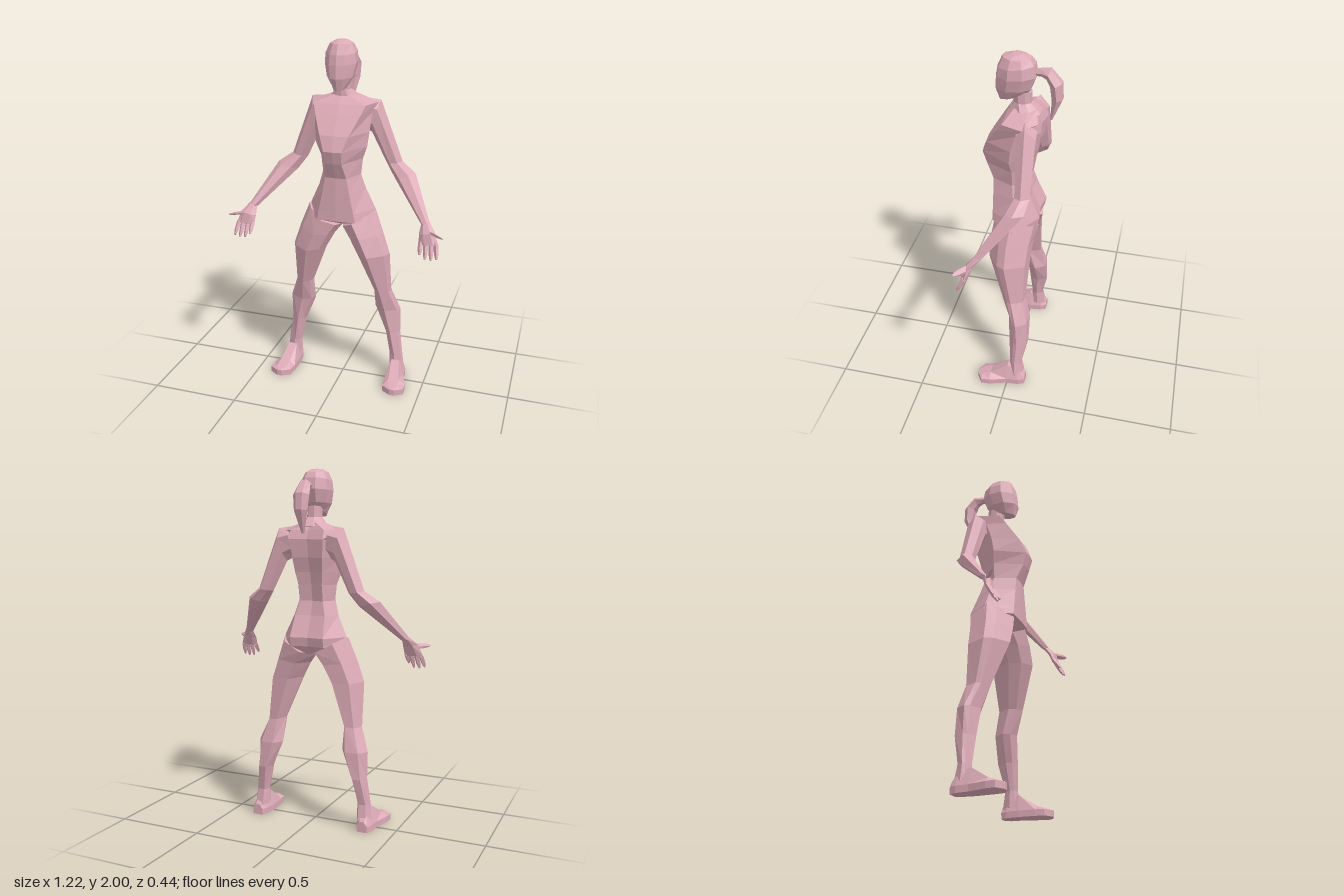
import * as THREE from 'three';

const skin = new THREE.MeshStandardMaterial({ color: 0xdcaab6, flatShading: true });
skin.name = 'rosePink';

// Skin a list of rings (arrays of [x, y, z]) with closed ends, faces outward
function loft(name, rings) {
  const n = rings[0].length, pos = rings.flat(2), tris = [];
  const at = (r, i) => r * n + (i % n);
  for (let r = 0; r < rings.length - 1; r++)
    for (let i = 0; i < n; i++)
      tris.push([at(r, i), at(r, i + 1), at(r + 1, i)], [at(r, i + 1), at(r + 1, i + 1), at(r + 1, i)]);
  for (const r of [0, rings.length - 1]) {
    const c = pos.length / 3;
    for (let k = 0; k < 3; k++) pos.push(rings[r].reduce((s, p) => s + p[k], 0) / n);
    for (let i = 0; i < n; i++) tris.push(r ? [at(r, i), at(r, i + 1), c] : [at(r, i + 1), at(r, i), c]);
  }
  // Signed volume decides the winding
  const v = (i) => new THREE.Vector3().fromArray(pos, i * 3);
  const volume = tris.reduce((s, [a, b, c]) => s + v(a).dot(v(b).cross(v(c))), 0);
  if (volume < 0) tris.forEach((t) => t.reverse());
  let geo = new THREE.BufferGeometry();
  geo.setAttribute('position', new THREE.Float32BufferAttribute(pos, 3));
  geo.setIndex(tris.flat());
  geo = geo.toNonIndexed();
  geo.computeVertexNormals();
  const mesh = new THREE.Mesh(geo, skin);
  mesh.name = name;
  return mesh;
}

// Add the mirrored other half to a front-to-back half profile
const mirrorX = (half) => [...half, ...half.slice().reverse().filter((p) => Math.abs(p[0]) > 1e-6).map(([x, y, z]) => [-x, y, z])];

// Ring on the centre line: half width, front y/z, back y/z
const centreRing = (profile) => ([w, yf, zf, yb, zb]) =>
  mirrorX(profile.map(([t, s]) => [s * w, yf + (yb - yf) * t, zf + (zb - zf) * t]));

// Ring across a limb: inner x/y, outer x/y, front z, back z
const limbRing = (profile, side) => ([xi, yi, xo, yo, zf, zb]) =>
  profile.map(([t, s]) => [side * (xi + (xo - xi) * t), yi + (yo - yi) * t, (zf + zb) / 2 + (s * (zf - zb)) / 2]);

// Thin tapering finger between two points
function digit(name, a, b, r, side) {
  const ring = (p, q) => [0, 1, 2, 3].map((i) => {
    const t = (i * Math.PI) / 2;
    return [side * (p[0] + q * Math.cos(t)), p[1] + q * Math.sin(t) * 0.7, p[2] + q * Math.sin(t) * 0.7];
  });
  const mid = a.map((v, i) => v + (b[i] - v) * 0.65);
  return loft(name, [ring(a, r), ring(mid, r * 0.9), ring(b, r * 0.45)]);
}

export function createModel() {
  const body = new THREE.Group();
  body.name = 'figure';

  // Torso: y, front z, back z, front half width, side half width, back half width, side z
  const torso = [
    [1.71, 0.03, -0.09, 0.04, 0.06, 0.04, -0.05],
    [1.67, 0.07, -0.115, 0.145, 0.185, 0.1, -0.05],
    [1.62, 0.105, -0.13, 0.125, 0.16, 0.1, -0.01],
    [1.52, 0.17, -0.115, 0.08, 0.155, 0.09, 0.02],
    [1.44, 0.2, -0.09, 0.05, 0.145, 0.08, 0.03],
    [1.37, 0.18, -0.075, 0.045, 0.12, 0.07, 0.02],
    [1.28, 0.14, -0.06, 0.06, 0.11, 0.07, 0.02],
    [1.2, 0.14, -0.08, 0.075, 0.135, 0.09, 0.01],
    [1.08, 0.14, -0.13, 0.1, 0.19, 0.1, 0],
    [1.03, 0.14, -0.12, 0.11, 0.208, 0.1, 0],
    [0.98, 0.04, -0.07, 0.015, 0.05, 0.02, 0],
  ];
  body.add(loft('torso', torso.map(([y, zf, zb, a, w, b, zs]) =>
    mirrorX([[0, y, zf], [a, y, zf - 0.005], [w, y, zs], [b, y, zb], [0, y, zb + 0.015]]))));

  // Neck, head and ponytail
  const oval = centreRing([[0, 0], [0.06, 0.5], [0.36, 1], [0.72, 0.92], [1, 0.4]]);
  body.add(loft('neck', [
    [0.04, 1.8, 0.045, 1.8, -0.06], [0.04, 1.74, 0.035, 1.74, -0.06], [0.085, 1.685, 0.035, 1.69, -0.11],
  ].map(oval)));
  body.add(loft('head', [
    [0.03, 2.0, 0.04, 2.0, -0.01], [0.06, 1.985, 0.09, 1.98, -0.055], [0.08, 1.93, 0.115, 1.95, -0.075],
    [0.085, 1.88, 0.125, 1.89, -0.085], [0.07, 1.81, 0.13, 1.82, -0.06], [0.04, 1.745, 0.11, 1.785, -0.03],
  ].map(oval)));
  const lock = centreRing([[0, 0.45], [0.5, 1], [1, 0.4]]);
  body.add(loft('ponytail', [
    [0.015, 1.89, -0.07, 1.92, -0.07], [0.02, 1.89, -0.11, 1.93, -0.105], [0.035, 1.88, -0.135, 1.935, -0.155],
    [0.048, 1.845, -0.155, 1.865, -0.215], [0.04, 1.77, -0.165, 1.775, -0.22], [0.008, 1.65, -0.158, 1.65, -0.168],
  ].map(lock)));

  for (const side of [1, -1]) {
    const tag = side > 0 ? 'left' : 'right';
    // Leg
    const legRing = limbRing([[0, 0], [0.12, 0.6], [0.45, 1], [0.88, 0.45], [1, 0.05], [0.75, -0.9], [0.25, -1]], side);
    body.add(loft(tag + 'Leg', [
      [0, 0.97, 0.195, 1.08, 0.13, -0.12], [0.04, 0.92, 0.245, 0.95, 0.14, -0.1],
      [0.09, 0.83, 0.285, 0.83, 0.14, -0.09], [0.185, 0.59, 0.29, 0.58, 0.055, -0.08],
      [0.187, 0.45, 0.34, 0.45, 0.01, -0.11], [0.25, 0.3, 0.34, 0.3, 0, -0.112],
      [0.28, 0.15, 0.36, 0.15, -0.01, -0.08], [0.28, 0.06, 0.37, 0.06, -0.005, -0.095],
    ].map(legRing)));

    // Foot: z, inner x, outer x, top height
    body.add(loft(tag + 'Foot', [
      [-0.105, 0.3, 0.36, 0.06], [-0.07, 0.285, 0.375, 0.1], [0, 0.277, 0.38, 0.125],
      [0.1, 0.28, 0.41, 0.06], [0.15, 0.287, 0.413, 0.045], [0.18, 0.335, 0.365, 0.037],
    ].map(([z, a, b, h]) => [[0, 0], [0, 0.035], [0.25, h], [0.7, h], [1, 0.035], [1, 0]]
      .map(([t, y]) => [side * (a + (b - a) * t), y, z]))));

    // Arm and palm
    const armRing = limbRing([[0, 0], [0.3, 0.9], [0.75, 0.85], [1, 0], [0.7, -1], [0.25, -0.8]], side);
    body.add(loft(tag + 'Arm', [
      [0.09, 1.53, 0.13, 1.69, 0.01, -0.115], [0.145, 1.5, 0.195, 1.68, -0.01, -0.12],
      [0.23, 1.33, 0.32, 1.345, -0.03, -0.115], [0.28, 1.26, 0.4, 1.29, 0.005, -0.1],
      [0.475, 1.06, 0.52, 1.075, 0.14, 0.095],
    ].map(armRing)));
    body.add(loft(tag + 'Palm', [
      [0.475, 1.07, 0.52, 1.08, 0.135, 0.095], [0.47, 1.02, 0.555, 1.04, 0.175, 0.13],
      [0.475, 0.97, 0.58, 0.975, 0.185, 0.155],
    ].map(armRing)));

    // Fingers and thumb
    [[0.485, 0.488, 0.925], [0.513, 0.518, 0.902], [0.541, 0.55, 0.9], [0.567, 0.58, 0.908]].forEach(([x0, x1, y1], i) =>
      body.add(digit(tag + 'Finger' + (i + 1), [x0, 0.98, 0.168], [x1, y1, 0.207], 0.014, side)));
    body.add(digit(tag + 'Thumb', [0.53, 1.03, 0.15], [0.603, 1.03, 0.21], 0.02, side));
  }
  return body;
}
